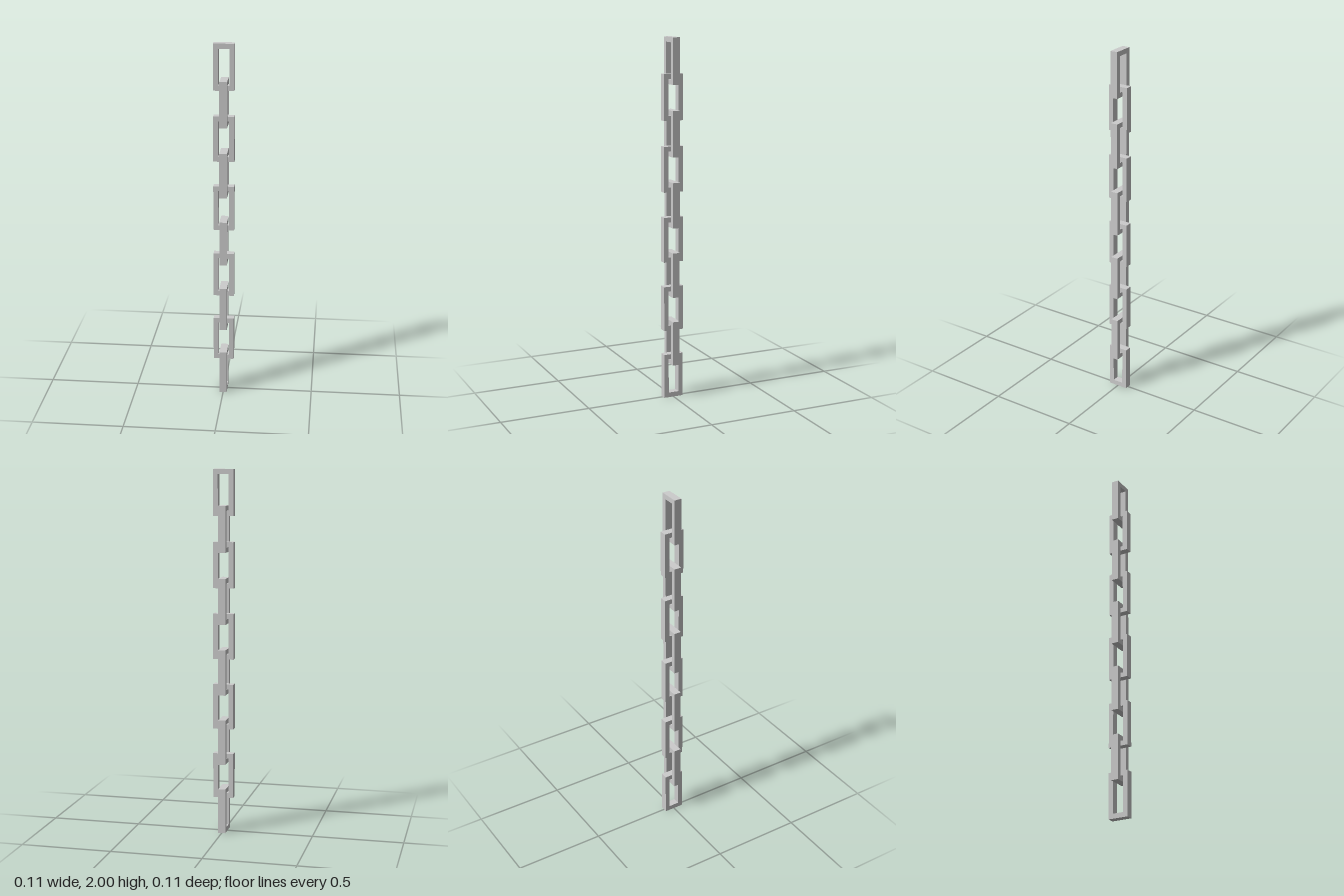
import * as THREE from 'three';

const LINKS = 10;
const HEIGHT = 0.25, WIDTH = 0.113, DEPTH = 0.041, BAR = 0.027;

// Closed rectangular outline centred on the origin
function rectangle(PathType, w, h) {
  const p = new PathType();
  p.moveTo(-w / 2, -h / 2);
  p.lineTo(w / 2, -h / 2);
  p.lineTo(w / 2, h / 2);
  p.lineTo(-w / 2, h / 2);
  p.closePath();
  return p;
}

export function createModel() {
  const chain = new THREE.Group();
  chain.name = 'chain';
  const material = new THREE.MeshStandardMaterial({ color: 0xcccccc, flatShading: true });

  // One link: a rectangular frame with a square-cornered opening
  const frame = rectangle(THREE.Shape, WIDTH, HEIGHT);
  frame.holes.push(rectangle(THREE.Path, WIDTH - 2 * BAR, HEIGHT - 2 * BAR));
  const linkGeometry = new THREE.ExtrudeGeometry(frame, { depth: DEPTH, bevelEnabled: false });
  linkGeometry.translate(0, 0, -DEPTH / 2);

  // Links hang from the top down, every second one turned a quarter
  const pitch = (2 - HEIGHT) / (LINKS - 1);
  for (let i = 0; i < LINKS; i++) {
    const link = new THREE.Mesh(linkGeometry, material);
    link.name = `link${i + 1}`;
    link.position.y = 2 - HEIGHT / 2 - i * pitch;
    link.rotation.y = (i % 2) * Math.PI / 2;
    chain.add(link);
  }
  return chain;
}
